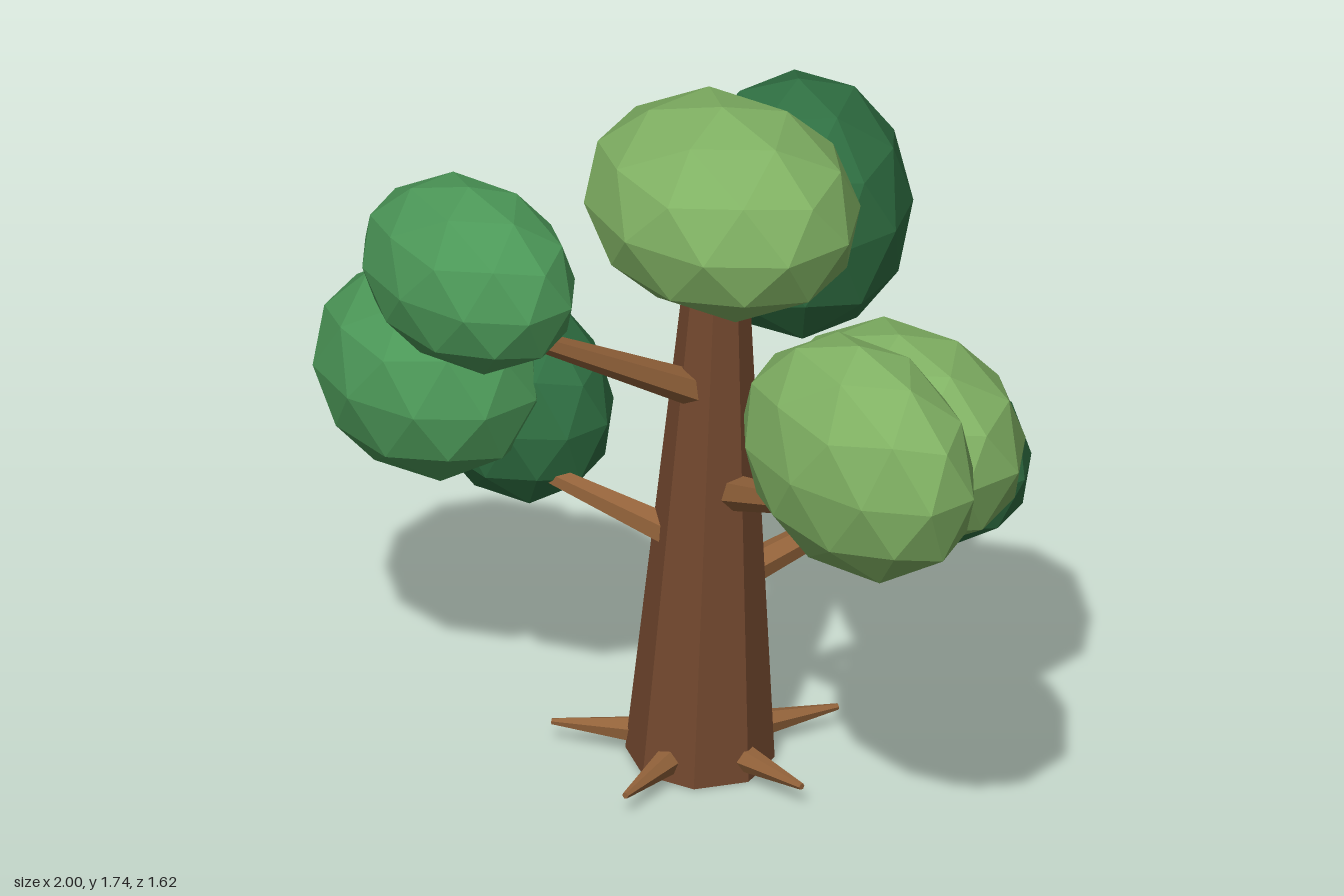
import * as THREE from 'three';

const paint = (color) => new THREE.MeshStandardMaterial({ color, flatShading: true });
const bark = paint(0x74492f);
const wood = paint(0x92623a);
const lightLeaf = paint(0x80b163);
const midLeaf = paint(0x4c9858);
const darkLeaf = paint(0x2f6f42);

// Tapered, low-poly limb running from one point to another
function limb(name, from, to, r0, r1, sides, material) {
  const a = new THREE.Vector3(...from);
  const dir = new THREE.Vector3(...to).sub(a);
  const geo = new THREE.CylinderGeometry(r1, r0, dir.length(), sides);
  geo.translate(0, dir.length() / 2, 0);
  const mesh = new THREE.Mesh(geo, material);
  mesh.name = name;
  mesh.position.copy(a);
  mesh.quaternion.setFromUnitVectors(new THREE.Vector3(0, 1, 0), dir.normalize());
  return mesh;
}

// Faceted leaf clump, one corner pointing up, stretched to fill a box
function clump(name, center, size, material) {
  const geo = new THREE.IcosahedronGeometry(1, 1);
  geo.rotateZ(-Math.atan(2 / (1 + Math.sqrt(5))));
  geo.computeBoundingBox();
  const box = geo.boundingBox.getSize(new THREE.Vector3());
  geo.center();
  geo.scale(size[0] / box.x, size[1] / box.y, size[2] / box.z);
  geo.computeVertexNormals();
  const mesh = new THREE.Mesh(geo, material);
  mesh.name = name;
  mesh.position.set(...center);
  return mesh;
}

export function createModel() {
  const tree = new THREE.Group();
  tree.name = 'tree';

  // Slightly leaning trunk
  const base = [-0.14, 0.011, -0.033];
  tree.add(limb('trunk', base, [-0.062, 1.35, -0.02], 0.176, 0.073, 8, bark));

  // Five roots spread evenly around the foot
  for (let i = 0; i < 5; i++) {
    const a = (i * 72 - 2) * Math.PI / 180;
    const at = (r) => [base[0] + r * Math.cos(a), 0.055, base[2] + r * Math.sin(a)];
    tree.add(limb('root', at(0.1), at(0.355), 0.04, 0.008, 6, wood));
  }

  // Branches
  const branches = [
    ['leftBranch', [-0.04, 0.74, -0.03], [0.55, 0.97, 0.1]],
    ['lowBackBranch', [-0.11, 0.455, -0.06], [0.04, 0.64, -0.6]],
    ['highBackBranch', [-0.1, 0.85, -0.03], [-0.36, 1.12, -0.37]],
    ['rightBranch', [-0.1, 0.6, 0.02], [-0.52, 0.735, 0.23]],
    ['frontBranch', [-0.07, 1.0, 0], [-0.16, 1.33, 0.58]],
  ];
  for (const [name, from, to] of branches) {
    tree.add(limb(name, from, to, 0.045, 0.018, 6, wood));
  }

  // Leaf clumps
  const clumps = [
    ['topLeaves', [-0.064, 1.488, -0.037], [0.7, 0.515, 0.6], lightLeaf],
    ['leftLeaves', [0.66, 1.17, 0.157], [0.68, 0.59, 0.425], lightLeaf],
    ['backLeaves', [0.115, 0.822, -0.43], [0.675, 0.52, 0.525], lightLeaf],
    ['frontLeaves', [-0.24, 1.449, 0.595], [0.593, 0.456, 0.425], midLeaf],
    ['rightLeaves', [-0.707, 0.925, 0.318], [0.59, 0.53, 0.508], midLeaf],
    ['innerRightLeaves', [-0.605, 0.825, 0.13], [0.497, 0.52, 0.4], darkLeaf],
    ['backRightLeaves', [-0.364, 1.205, -0.527], [0.508, 0.665, 0.545], darkLeaf],
    ['lowBackLeaves', [0.035, 0.68, -0.615], [0.49, 0.445, 0.4], darkLeaf],
  ];
  for (const c of clumps) tree.add(clump(...c));

  return tree;
}
